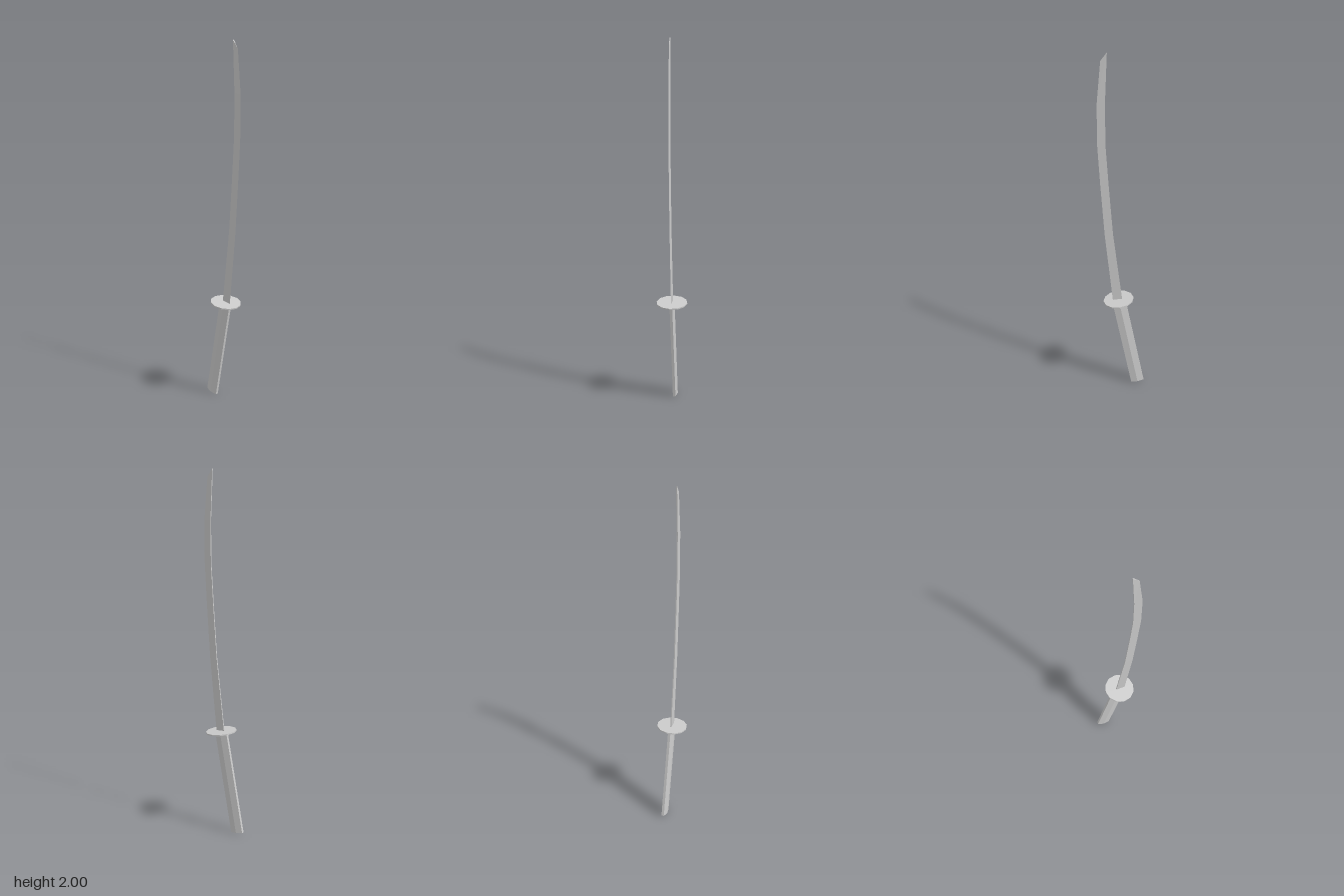
import * as THREE from 'three';

const grey = new THREE.MeshStandardMaterial({ color: 0xcccccc, flatShading: true });

// Curved blade: wedge cross-sections, cutting edge on +z, flat spine on -z
function bladeGeometry() {
  const half = 0.003;
  // edge z, edge y, spine z, spine y
  const stations = [
    [0.052, 0.575, 0.0, 0.585],
    [0.095, 1.01, 0.05, 1.01],
    [0.115, 1.31, 0.071, 1.3],
    [0.127, 1.52, 0.085, 1.52],
    [0.127, 1.74, 0.086, 1.74],
    [0.106, 1.96, 0.074, 2.0],
  ];
  const points = stations.flatMap(([ez, ey, sz, sy]) => [0, ey, ez, half, sy, sz, -half, sy, sz]);
  const index = [0, 2, 1];
  for (let i = 0; i < stations.length - 1; i++) {
    for (let k = 0; k < 3; k++) {
      const a = i * 3 + k, b = i * 3 + (k + 1) % 3;
      index.push(a, b, b + 3, a, b + 3, a + 3);
    }
  }
  const last = (stations.length - 1) * 3;
  index.push(last, last + 1, last + 2);
  const geometry = new THREE.BufferGeometry();
  geometry.setAttribute('position', new THREE.Float32BufferAttribute(points, 3));
  geometry.setIndex(index);
  const flat = geometry.toNonIndexed();
  flat.computeVertexNormals();
  return flat;
}

export function createModel() {
  const group = new THREE.Group();
  const add = (name, geometry) => {
    const mesh = new THREE.Mesh(geometry, grey);
    mesh.name = name;
    group.add(mesh);
    return mesh;
  };

  add('blade', bladeGeometry());

  // Twelve-sided guard, tipped slightly forward
  const guard = add('guard', new THREE.CylinderGeometry(0.085, 0.085, 0.007, 12));
  guard.position.set(0, 0.59, 0.021);
  guard.rotation.x = 0.12;

  // Flattened six-sided handle, leaning back towards its end
  const handleShape = new THREE.CylinderGeometry(1, 1, 0.592, 6, 1, false, Math.PI / 6);
  handleShape.scale(0.015, 1, 0.0433);
  handleShape.computeVertexNormals();
  const handle = add('handle', handleShape);
  handle.position.set(0, 0.297, -0.035);
  handle.rotation.x = 0.187;

  return group;
}
